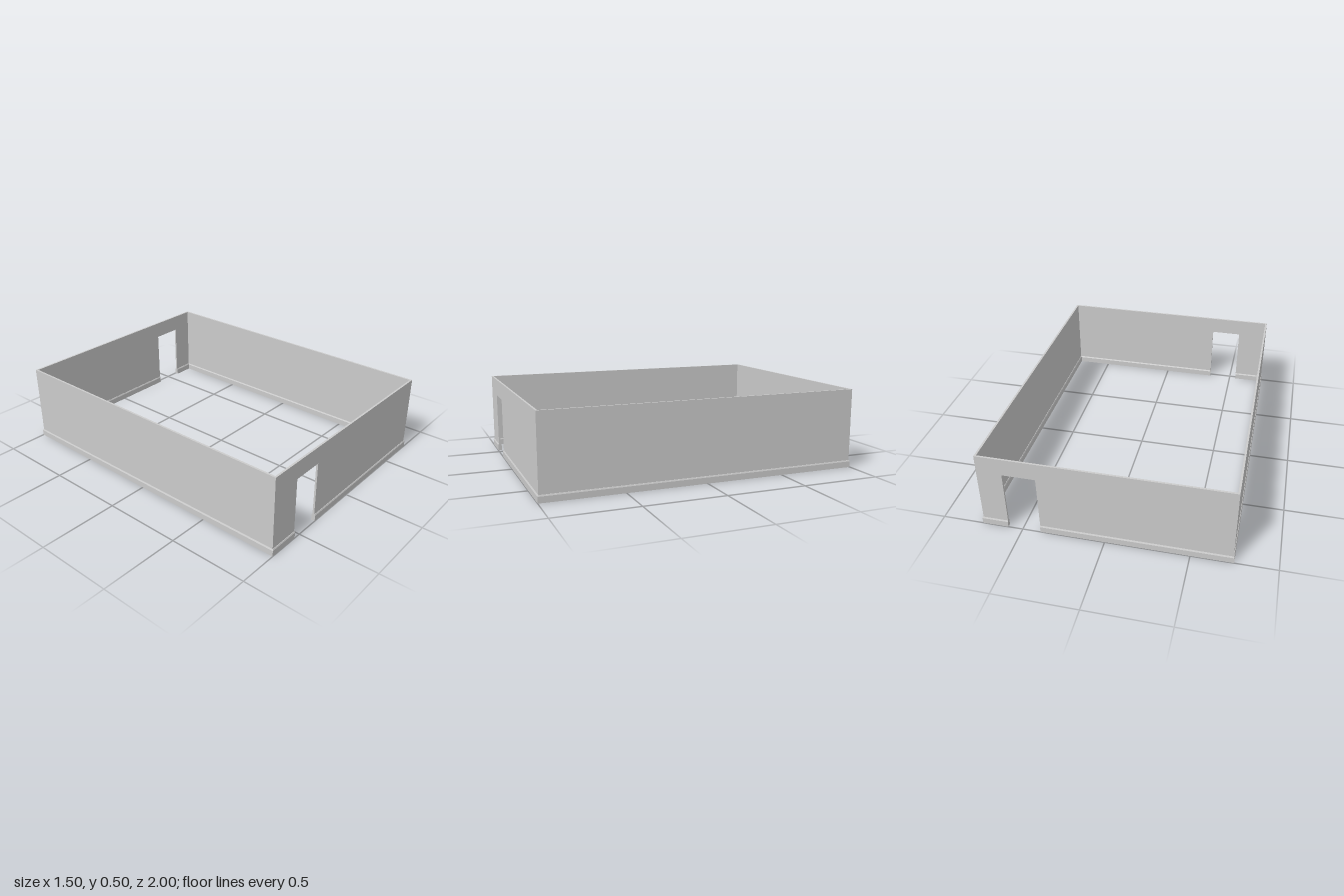
import * as THREE from 'three';

const W = 0.744, D = 0.994;      // half width and half depth to the outer wall faces
const H = 0.5, T = 0.012;        // wall height and thickness
const SKIRT = 0.006, SKIRT_H = 0.045;
const DOOR_H = 0.39;
const FRONT_DOOR = [-0.545, -0.345], BACK_DOOR = [0.39, 0.59];

const material = new THREE.MeshStandardMaterial({ color: 0xcccccc, flatShading: true });

function add(group, name, geometry) {
  const mesh = new THREE.Mesh(geometry, material);
  mesh.name = name;
  group.add(mesh);
  return mesh;
}

// End wall with a doorway cut up from the ground
function doorWall([a, b]) {
  const s = new THREE.Shape();
  [[-W, 0], [a, 0], [a, DOOR_H], [b, DOOR_H], [b, 0], [W, 0], [W, H], [-W, H]]
    .forEach(([x, y], i) => (i ? s.lineTo(x, y) : s.moveTo(x, y)));
  return new THREE.ExtrudeGeometry(s, { depth: T, bevelEnabled: false });
}

// Skirting run: chamfered profile along local z from a to b; mitre shears each end by its depth
function skirtRun(a, b, mitreA, mitreB) {
  const s = new THREE.Shape();
  [[0, 0], [SKIRT, 0], [SKIRT, SKIRT_H - 0.008], [SKIRT * 0.4, SKIRT_H], [0, SKIRT_H]]
    .forEach(([x, y], i) => (i ? s.lineTo(x, y) : s.moveTo(x, y)));
  const g = new THREE.ExtrudeGeometry(s, { depth: b - a, bevelEnabled: false });
  const p = g.attributes.position;
  for (let i = 0; i < p.count; i++) {
    const atEnd = p.getZ(i) > (b - a) / 2;
    p.setZ(i, a + p.getZ(i) + p.getX(i) * (atEnd ? mitreB : -mitreA));
  }
  g.computeVertexNormals();
  return g;
}

// Skirting along one wall face with outward normal (nx, nz), split at the doorway if any
function skirting(group, name, nx, nz, offset, half, mitre, door) {
  const side = new THREE.Group();
  side.name = name;
  side.rotation.y = Math.atan2(-nz, nx);
  const runs = [];
  if (door) {
    // local z runs along -x on faces that look to +z
    const [a, b] = nz > 0 ? [-door[1], -door[0]] : door;
    runs.push([-half, a, mitre, 0], [b, half, 0, mitre]);
  } else {
    runs.push([-half, half, mitre, mitre]);
  }
  for (const r of runs) add(side, name + 'Run', skirtRun(...r)).position.x = offset;
  group.add(side);
}

export function createModel() {
  const model = new THREE.Group();
  model.name = 'roomWalls';

  // Walls
  add(model, 'frontWall', doorWall(FRONT_DOOR)).position.z = D - T;
  add(model, 'backWall', doorWall(BACK_DOOR)).position.z = -D;
  for (const [name, s] of [['leftWall', 1], ['rightWall', -1]]) {
    add(model, name, new THREE.BoxGeometry(T, H, 2 * (D - T)))
      .position.set(s * (W - T / 2), H / 2, 0);
  }

  // Skirting boards, outside and inside each wall
  const sides = [
    ['front', 0, 1, D, W, FRONT_DOOR],
    ['back', 0, -1, D, W, BACK_DOOR],
    ['left', 1, 0, W, D, null],
    ['right', -1, 0, W, D, null],
  ];
  for (const [name, nx, nz, dist, half, door] of sides) {
    skirting(model, name + 'OuterSkirting', nx, nz, dist, half, 1, door);
    skirting(model, name + 'InnerSkirting', -nx, -nz, T - dist, half - T, -1, door);
  }
  return model;
}
